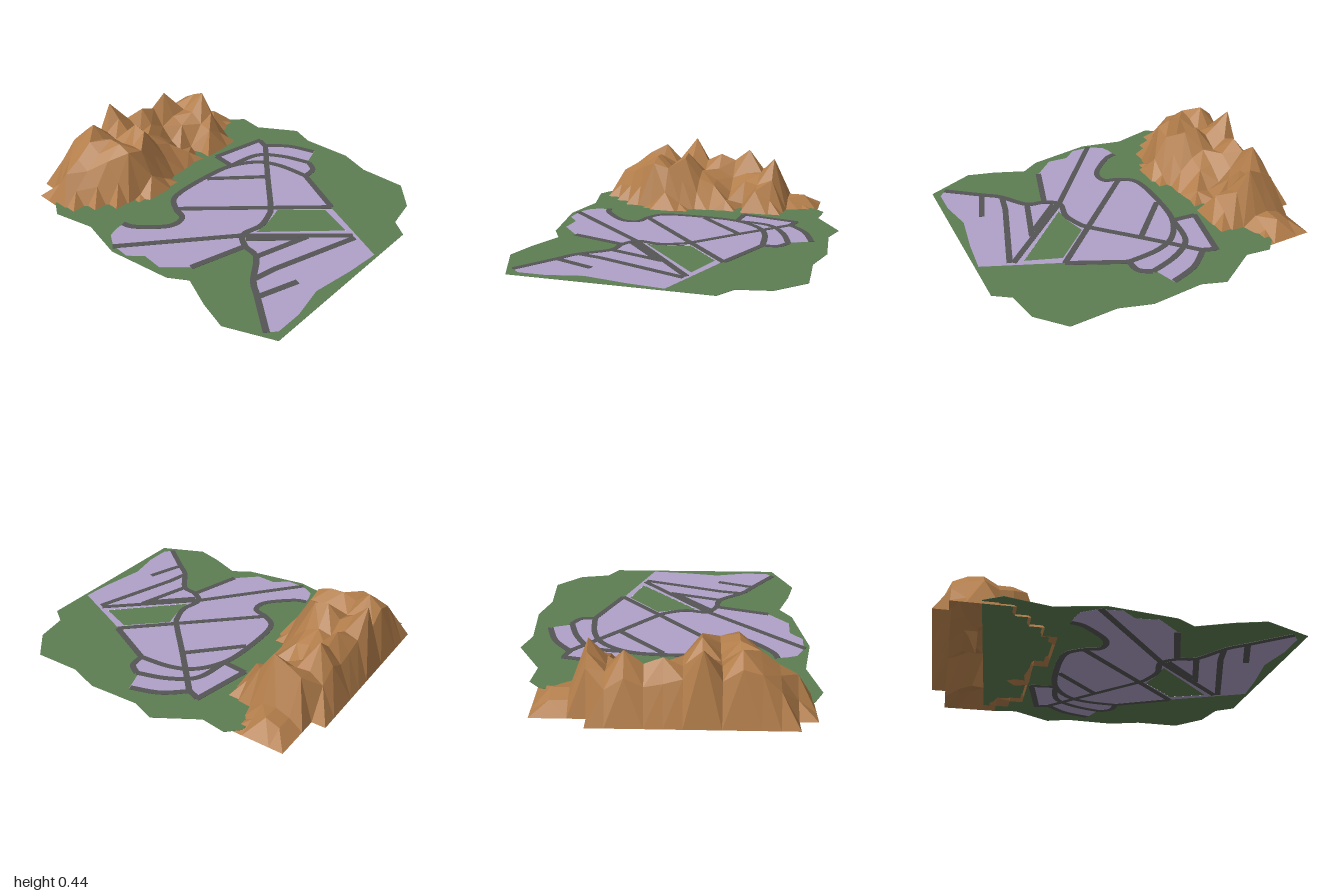
import * as THREE from 'three';

const GREEN = 0x5d7e52, PURPLE = 0xb0a0c9, GREY = 0x555555, BROWN = 0xb27d4a;
const LEVEL = 0.04; // height of the flat land

const mat = (color, extra = {}) => new THREE.MeshStandardMaterial({ color, ...extra });

// Pairs of x, z in hundredths become plan points (plan y is -z)
function plan(list) {
  const pts = [];
  for (let i = 0; i < list.length; i += 2) pts.push(new THREE.Vector2(list[i] / 100, -list[i + 1] / 100));
  return pts;
}

// Thin flat plate centred on the land level
function plate(name, shape, thickness, color) {
  const geo = new THREE.ExtrudeGeometry(shape, { depth: thickness, bevelEnabled: false });
  geo.rotateX(-Math.PI / 2);
  geo.translate(0, LEVEL - thickness / 2, 0);
  const mesh = new THREE.Mesh(geo, mat(color));
  mesh.name = name;
  return mesh;
}

// Constant-width ribbon along a path
function ribbon(points, width) {
  const left = [], right = [];
  points.forEach((p, i) => {
    const a = points[Math.max(i - 1, 0)], b = points[Math.min(i + 1, points.length - 1)];
    const t = b.clone().sub(a).normalize();
    const n = new THREE.Vector2(-t.y, t.x).multiplyScalar(width / 2);
    left.push(p.clone().add(n));
    right.unshift(p.clone().sub(n));
  });
  return new THREE.Shape([...left, ...right]);
}

const groundLine = [
  -82, -76, -88, -66, -82, -41, -88, -14, -82, 25, -75, 36, -83, 55, -88, 72, -76, 100, 38, 100,
  45, 90, 64, 86.5, 80, 72, 79, 44, 85, 25, 83, -6, 88, -20, 73, -44, 75, -59, 68, -66,
];
const townLine = [
  -84, -18, -79, -26, -73, -28, -67, -29, -64, -21, -50, -7, -39, -7, -35, -18, -26, -27, 3, -28,
  22, -25, 24, -40, 61, -31, 57, -23, 69, -9, 75, 6, 60, 11, 56, 20, 47, 20, 31, 52,
  18, 82, 11, 98, -10, 96, -35, 92, -55, 96, -71, 96, -77, 91, -59, 72, -52, 62, -37, 49,
  -33, 39, -67, 29, -79, 16, -78, 3, -85, -5,
];
const parkLine = [-19, 35, -7, 34, 6, 30.5, 26, 52, 18, 73];

// Straight roads (x, z pairs)
const straightRoads = [
  [-85, -17, -26, 32], [-27, 31, 17, 79], [-35, -16, 31, 53], [1, -25, 29, 2],
  [23, -23, 24.5, -39], [24, -39, 61, -31], [60, -31, 57, -23], [-67, 29, -33, 39],
  [31, 53, 47, 20], [-35, 50, -2, 60], [-52, 61, -37, 64], [-37, 64, 16, 81],
  [-59, 72, -36, 80], [-28, 35, -7, 57],
];
// Winding roads (x, z pairs)
const curvedRoads = [
  [59, -25, 30, 2, 6, 25, -2, 30, -13, 33, -26, 31, -33, 39, -36, 50, -52, 62, -60, 72, -76, 92],
  [-67, -29, -64, -21, -50, -7, -39, -7, -35, -17, -26, -26, 0, -27, 22, -24, 38, -14, 45, 0, 47, 20],
  [57, -24, 68, -11, 74, 6],
  [22, -24, 44, -20, 55, -6, 61, 12],
  [47, 20, 56, 19, 61, 12],
];

// Ridge heights in hundredths; rows run back to front, columns from -x to +x
const ridges = [
  [2, 20, 30, 33, 26, 44, 27, 24, 22, 27, 20, 2, 2, 2],
  [10, 25, 33, 40, 30, 36, 30, 35, 31, 39, 26, 28, 8, 8],
  [21, 27, 35, 33, 28, 30, 24, 26, 20, 24, 25, 33, 11, 11],
  [12, 22, 30, 36, 28, 38, 26, 20, 12, 20, 26, 37, 10, 6],
  [2, 14, 28, 36, 30, 36, 22, 18, 8, 6, 20, 24, 4, 2],
  [2, 2, 16, 33, 30, 22, 14, 10, 10, 1, 18, 12, 2, 2],
  [2, 2, 2, 6, 15, 8, 2, 2, 0, 2, 2, 2, 2, 2],
];

// Faceted height field; cells lying entirely at the foot are left out
function mountains() {
  const height = (i, j) => ridges[j - 1]?.[i - 1] ?? 2;
  const corner = (i, j) => [-0.82 + i * 0.1013, height(i, j) / 100, -1 + j * 0.083];
  const pos = [];
  for (let j = 0; j < 8; j++) for (let i = 0; i < 15; i++) {
    const cell = [[i, j], [i, j + 1], [i + 1, j + 1], [i + 1, j]];
    const h = cell.map(([a, b]) => height(a, b));
    if (Math.max(...h) <= 2) continue;
    const [a, b, c, d] = cell.map(([p, q]) => corner(p, q));
    // split along the higher diagonal to keep ridges sharp
    if (h[0] + h[2] >= h[1] + h[3]) pos.push(...a, ...b, ...c, ...a, ...c, ...d);
    else pos.push(...a, ...b, ...d, ...b, ...c, ...d);
  }
  const geo = new THREE.BufferGeometry();
  geo.setAttribute('position', new THREE.Float32BufferAttribute(pos, 3));
  geo.computeVertexNormals();
  const mesh = new THREE.Mesh(geo, mat(BROWN, { flatShading: true, side: THREE.DoubleSide }));
  mesh.name = 'mountains';
  return mesh;
}

export function createModel() {
  const model = new THREE.Group();
  model.name = 'mountainTown';

  // Grassland with the town cut out of it
  const grass = new THREE.Shape(plan(groundLine));
  grass.holes.push(new THREE.Path(plan(townLine)));
  model.add(plate('grassland', grass, 0.002, GREEN));

  // Built-up area with the park cut out of it
  const town = new THREE.Shape(plan(townLine));
  town.holes.push(new THREE.Path(plan(parkLine)));
  model.add(plate('townDistricts', town, 0.003, PURPLE));
  model.add(plate('park', new THREE.Shape(plan(parkLine)), 0.002, GREEN));

  // Road network
  const shapes = [
    ...straightRoads.map((r) => ribbon(plan(r), 0.036)),
    ...curvedRoads.map((r) => ribbon(new THREE.SplineCurve(plan(r)).getPoints(r.length * 3), 0.036)),
  ];
  const roads = new THREE.Group();
  roads.name = 'roads';
  shapes.forEach((s) => roads.add(plate('road', s, 0.006, GREY)));
  model.add(roads);

  model.add(mountains());
  return model;
}
